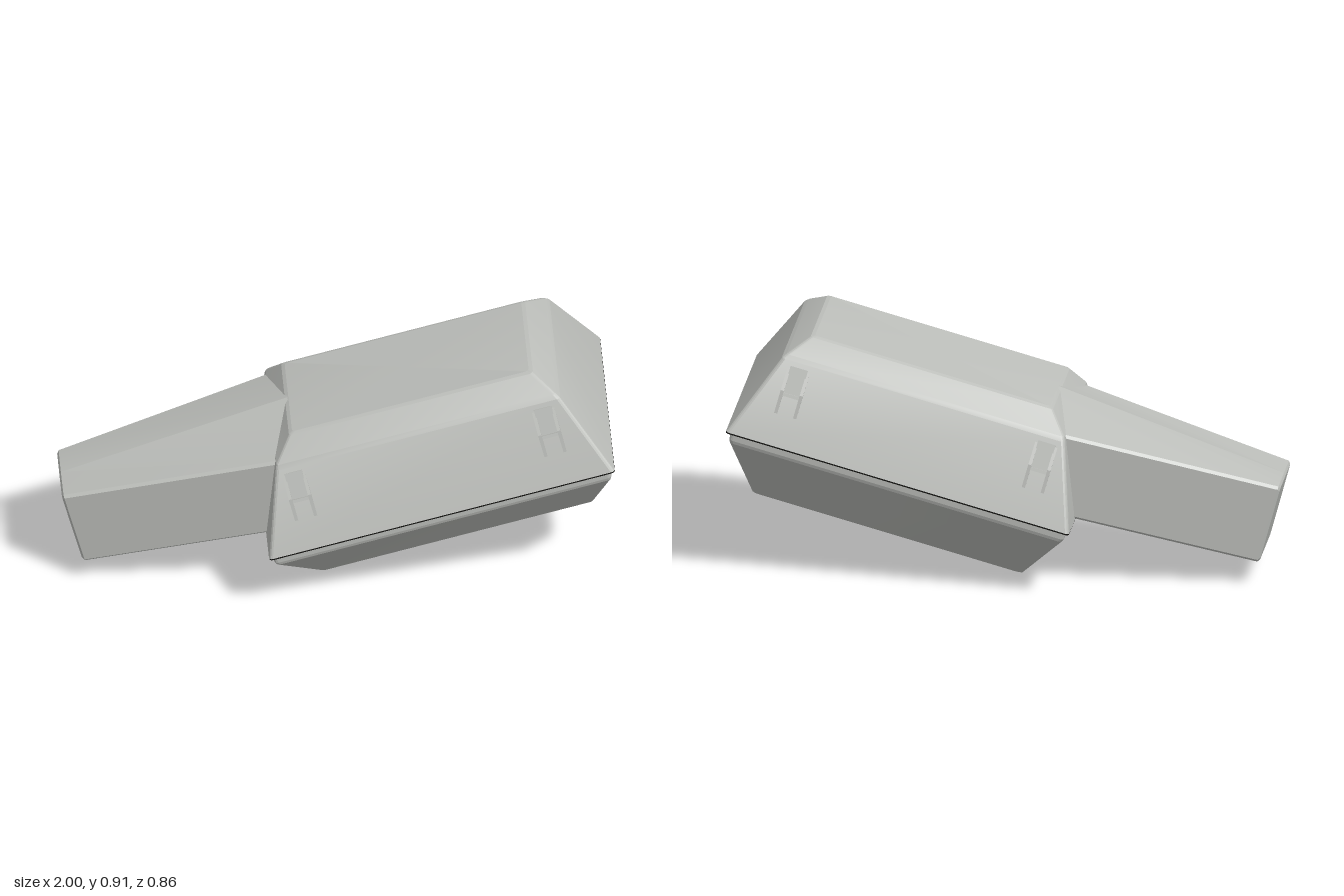
import * as THREE from 'three';
import { toCreasedNormals } from 'three/addons/utils/BufferGeometryUtils.js';

const grey = new THREE.MeshStandardMaterial({ color: 0xbcbeba });
grey.name = 'paintedGrey';
const dark = new THREE.MeshStandardMaterial({ color: 0x141412 });
dark.name = 'sealBlack';

function mesh(geometry, material, name, parent) {
  const m = new THREE.Mesh(geometry, material);
  m.name = name;
  parent.add(m);
  return m;
}

// Closed skin through loops of [x, y, z] points, with both ends capped
function loft(loops) {
  const pos = [];
  const n = loops[0].length;
  const tri = (...pts) => pts.forEach((p) => pos.push(...p));
  const centre = (loop) => [0, 1, 2].map((k) => loop.reduce((s, p) => s + p[k], 0) / n);
  const first = loops[0], last = loops[loops.length - 1];
  const c0 = centre(first), c1 = centre(last);
  for (let j = 0; j < n; j++) {
    const k = (j + 1) % n;
    for (let i = 0; i < loops.length - 1; i++) {
      const a = loops[i], b = loops[i + 1];
      tri(a[j], a[k], b[k]);
      tri(a[j], b[k], b[j]);
    }
    tri(c0, first[k], first[j]);
    tri(c1, last[j], last[k]);
  }
  const g = new THREE.BufferGeometry();
  g.setAttribute('position', new THREE.Float32BufferAttribute(pos, 3));
  return toCreasedNormals(g, 0.25);
}

// Level rounded rectangle from x0 to x1, half width w, at height y
function roundedRect([y, x0, x1, w, r = 0.014]) {
  const loop = [];
  const corners = [[x1 - r, w - r], [x1 - r, -w + r], [x0 + r, -w + r], [x0 + r, w - r]];
  corners.forEach(([cx, cz], q) => {
    for (let k = 0; k <= 3; k++) {
      const a = (q + k / 3) * Math.PI / 2;
      loop.push([cx + r * Math.sin(a), y, cz + r * Math.cos(a)]);
    }
  });
  return loop;
}

// Gabled arm section at x, with softened lower and upper edges
function armSection(x, w, bottom, eave, ridge) {
  const b = 0.01;
  const half = [[bottom, w - b], [bottom + b, w], [eave - b, w], [eave, w - b]];
  const left = half.map(([y, z]) => [x, y, z]).reverse();
  const right = half.map(([y, z]) => [x, y, -z]);
  return [[x, ridge, 0], ...left, ...right];
}

// H-shaped latch: two tapered prongs, a crossbar and a thin backing plate
function makeLatch() {
  const latch = new THREE.Group();
  latch.name = 'latch';
  const profile = new THREE.Shape([
    new THREE.Vector2(0.11, -0.004), new THREE.Vector2(0, 0.013), new THREE.Vector2(-0.11, -0.004),
  ]);
  for (const s of [-1, 1]) {
    const g = new THREE.ExtrudeGeometry(profile, { depth: 0.012, bevelEnabled: false });
    g.translate(0, 0, -0.006);
    // shape x runs up the slope, shape y points outward
    g.applyMatrix4(new THREE.Matrix4().makeBasis(
      new THREE.Vector3(0, 1, 0), new THREE.Vector3(0, 0, 1), new THREE.Vector3(1, 0, 0)));
    mesh(g, grey, 'latchProng', latch).position.x = s * 0.036;
  }
  mesh(new THREE.BoxGeometry(0.072, 0.012, 0.016), grey, 'latchCrossbar', latch).position.y = -0.012;
  mesh(new THREE.BoxGeometry(0.066, 0.1, 0.006), grey, 'latchPlate', latch).position.y = 0.045;
  return latch;
}

export function createModel() {
  const model = new THREE.Group();
  model.name = 'streetLampHead';
  const head = new THREE.Group();
  head.name = 'tiltedHead';
  head.rotation.z = THREE.MathUtils.degToRad(15);
  model.add(head);

  // Upper cover with sloping sides and a chamfered top
  const hood = [
    [0.321, -0.184, 1.121, 0.43],
    [0.618, -0.074, 1.003, 0.319],
    [0.634, -0.066, 0.99, 0.308],
    [0.695, 0.004, 0.926, 0.23],
    [0.7, 0.018, 0.912, 0.216],
  ];
  mesh(loft(hood.map(roundedRect)), grey, 'hood', head);

  // Dark seal under the hood rim
  mesh(loft([[0.316, -0.184, 1.121, 0.43], [0.321, -0.184, 1.121, 0.43]].map(roundedRect)),
    dark, 'rimSeal', head);

  // Lower lens bowl, tapering to a narrow flat base
  const lens = [
    [0.013, -0.04, 0.972, 0.134],
    [0.019, -0.05, 0.98, 0.146],
    [0.278, -0.166, 1.098, 0.413],
    [0.29, -0.171, 1.102, 0.417],
    [0.317, -0.171, 1.104, 0.418],
  ];
  mesh(loft(lens.map(roundedRect)), grey, 'lensBowl', head);

  // Tapered mounting arm with a ridge rising to the hood
  mesh(loft([
    armSection(-0.868, 0.143, 0.331, 0.619, 0.621),
    armSection(-0.86, 0.152, 0.323, 0.627, 0.63),
    armSection(0.015, 0.298, 0.323, 0.632, 0.702),
  ]), grey, 'mountingArm', head);

  // Cable opening beneath the arm
  mesh(new THREE.CylinderGeometry(0.035, 0.035, 0.004, 24), dark, 'cableOpening', head)
    .position.set(-0.56, 0.322, 0);

  // Two latches on each sloping side of the hood
  for (const s of [1, -1]) {
    const side = new THREE.Group();
    side.name = s > 0 ? 'frontLatches' : 'backLatches';
    side.rotation.y = s > 0 ? 0 : Math.PI;
    head.add(side);
    for (const u of [-0.012, 0.93]) {
      const latch = makeLatch();
      latch.position.set(s * u, 0.512, 0.359);
      latch.rotation.x = -0.357;
      side.add(latch);
    }
  }
  return model;
}
